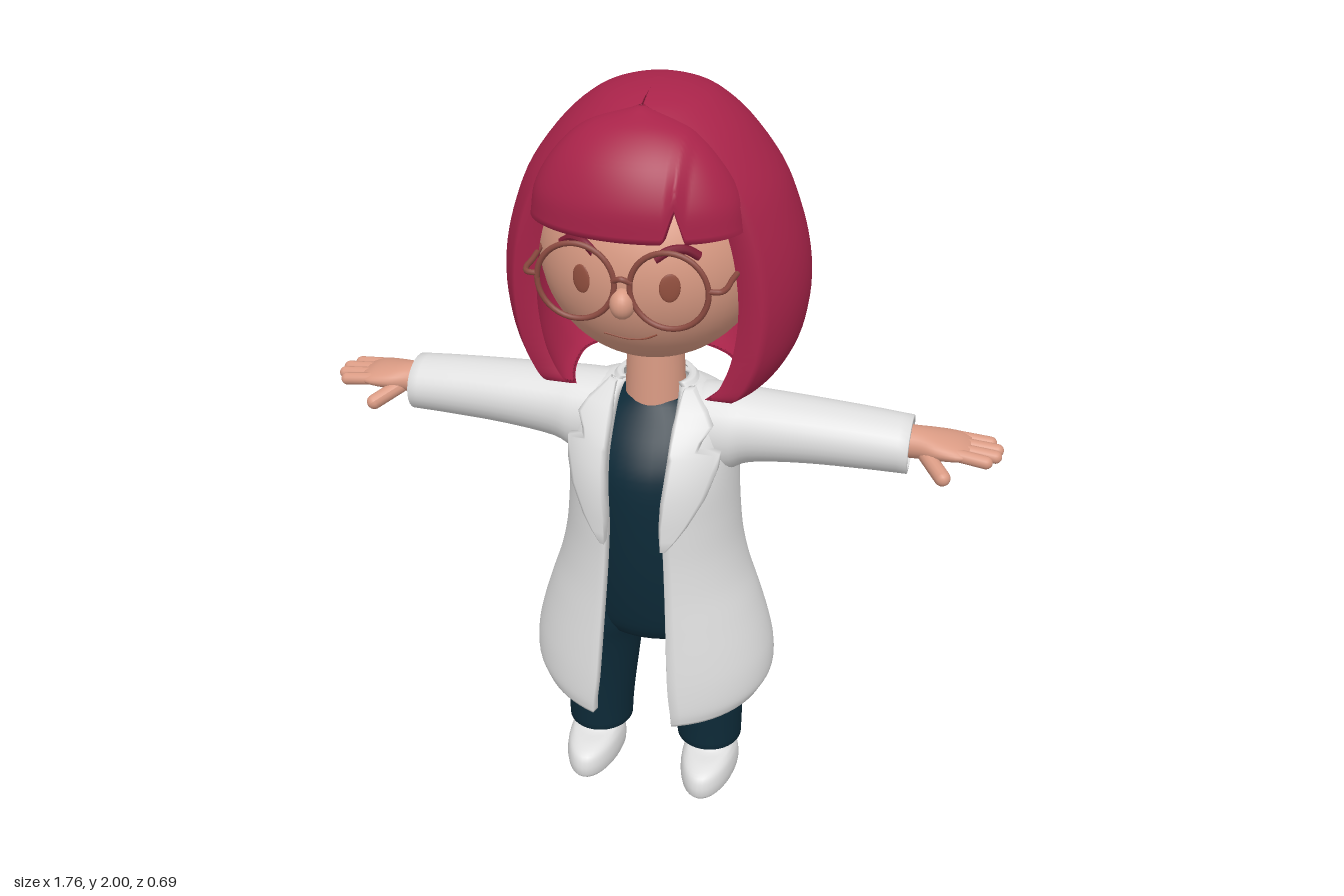
import * as THREE from 'three';

const V = (x, y, z) => new THREE.Vector3(x, y, z);
const paint = (name, color) => Object.assign(new THREE.MeshStandardMaterial({ color }), { name });

// Smoothly resamples a short table of numeric rows
function sampler(rows) {
  const times = rows.map((_, i) => i);
  const cubic = new THREE.CubicInterpolant(times, rows.flat(), rows[0].length);
  return (t) => Array.from(cubic.evaluate(t));
}
function smooth(rows, steps = 6) {
  const at = sampler(rows), out = [];
  for (let i = 0; i <= (rows.length - 1) * steps; i++) out.push(at(i / steps));
  return out;
}

// Skins a list of closed rings, with optional caps on the ends
function loft(rings, cap = true) {
  if (cap) {
    const flat = (r) => {
      const c = r.reduce((a, p) => a.add(p), V(0, 0, 0)).divideScalar(r.length);
      return [r.map((p) => p.clone().lerp(c, 0.06)), r.map(() => c)];
    };
    const [a, b] = flat(rings[0]), [c, d] = flat(rings[rings.length - 1]);
    rings = [b, a, ...rings, c, d];
  }
  const n = rings[0].length, index = [];
  for (let j = 0; j < rings.length - 1; j++) {
    for (let i = 0; i < n; i++) {
      const k = (i + 1) % n, a = j * n, b = a + n;
      index.push(a + i, a + k, b + k, a + i, b + k, b + i);
    }
  }
  const g = new THREE.BufferGeometry().setFromPoints(rings.flat());
  g.setIndex(index);
  g.computeVertexNormals();
  return g;
}

// Thick open shell: outer and inner give points for a row and s from 0 to 1
function shell(rows, n, outer, inner) {
  const s = Array.from({ length: n + 1 }, (_, i) => i / n);
  const rings = rows.map((r) => [...s.map((k) => outer(r, k)), ...s.map((k) => inner(r, 1 - k))]);
  const closed = (r) => r.map((p, i) => p.clone().lerp(r[r.length - 1 - i], 0.5));
  return loft([closed(rings[0]), ...rings, closed(rings[rings.length - 1])], false);
}

// Horizontal ring with separate front and back depth
const oval = (t, y, w, f, b, cx = 0, cz = 0) =>
  V(cx + w * Math.sin(t), y, cz + (Math.cos(t) > 0 ? f : b) * Math.cos(t));
const ovalRing = (y, w, f, b, cx, cz, n = 36) =>
  Array.from({ length: n }, (_, i) => oval((i / n) * 2 * Math.PI, y, w, f, b, cx, cz));
// Upright ring for parts that run along x
const armRing = (x, cy, ry, cz, rz, n = 28) => Array.from({ length: n }, (_, i) => {
  const t = (i / n) * 2 * Math.PI;
  return V(x, cy + ry * Math.cos(t), cz + rz * Math.sin(t));
});
const arc = (t0, s) => t0 + (2 * Math.PI - 2 * t0) * s;

function mirrored(geometry) {
  const g = geometry.clone().scale(-1, 1, 1), a = g.index.array;
  for (let i = 0; i < a.length; i += 3) [a[i], a[i + 1]] = [a[i + 1], a[i]];
  g.computeVertexNormals();
  return g;
}

export function createModel() {
  const model = new THREE.Group();
  model.name = 'figure';
  const hair = paint('hair red', 0xa82349), skin = paint('skin', 0xd99a83), white = paint('coat white', 0xdedede);
  const navy = paint('dark clothes', 0x0d2a38), frame = paint('glasses brown', 0x8a4a40);
  const iris = paint('eye brown', 0x93503f), brow = paint('brow red', 0x7c1b34);
  const add = (name, geometry, material) => {
    const m = new THREE.Mesh(geometry, material);
    m.name = name;
    model.add(m);
  };
  const pair = (name, geometry, material) => {
    add(name + 'Left', geometry, material);
    add(name + 'Right', mirrored(geometry), material);
  };
  const tube = (points, r, n = 24) => new THREE.TubeGeometry(new THREE.CatmullRomCurve3(points), n, r, 8);

  // Head, nose and neck
  add('head', new THREE.SphereGeometry(1, 48, 32).scale(0.28, 0.28, 0.28).translate(0, 1.605, 0.03), skin);
  const faceZ = (x, y) => 0.03 + Math.sqrt(Math.max(0, 0.0784 - x * x - (y - 1.605) ** 2));
  add('nose', new THREE.SphereGeometry(1, 20, 14).scale(0.03, 0.037, 0.035).translate(0, 1.565, 0.313), skin);
  add('neck', new THREE.CylinderGeometry(0.07, 0.08, 0.24, 28).translate(0, 1.26, 0.025), skin);

  // Eyes, brows, mouth
  const eye = new THREE.SphereGeometry(1, 20, 14).scale(0.025, 0.035, 0.005).rotateY(0.38);
  pair('eye', eye.translate(0.105, 1.605, faceZ(0.105, 1.605)), iris);
  const browPoints = [[0.07, 1.672], [0.1, 1.69], [0.135, 1.69], [0.163, 1.672]];
  pair('brow', tube(browPoints.map(([x, y]) => V(x, y, faceZ(x, y))), 0.011), brow);
  const lips = [[-0.06, 1.462], [0, 1.455], [0.04, 1.46], [0.07, 1.475]];
  add('mouth', tube(lips.map(([x, y]) => V(x, y, faceZ(x, y))), 0.0025), iris);

  // Glasses
  pair('lensRim', new THREE.TorusGeometry(0.092, 0.007, 8, 40).translate(0.11, 1.61, 0.318), frame);
  add('bridge', tube([V(-0.022, 1.62, 0.318), V(0, 1.63, 0.326), V(0.022, 1.62, 0.318)], 0.007), frame);
  pair('temple', tube([V(0.2, 1.62, 0.318), V(0.226, 1.62, 0.315), V(0.236, 1.62, 0.295),
    V(0.238, 1.62, 0.24), V(0.245, 1.62, 0.16)], 0.007), frame);

  // Bob: y, half width, front, back, half angle of the face opening
  const bob = [[1.268, 0.27, 0.3, 0.205, 0.95], [1.285, 0.3, 0.335, 0.235, 0.93], [1.33, 0.333, 0.34, 0.27, 0.93],
    [1.4, 0.362, 0.34, 0.312, 0.93], [1.5, 0.377, 0.34, 0.343, 0.93], [1.6, 0.37, 0.34, 0.342, 0.93],
    [1.7, 0.343, 0.34, 0.318, 0.93], [1.8, 0.3, 0.32, 0.282, 0.88], [1.9, 0.225, 0.255, 0.22, 0.7],
    [1.96, 0.155, 0.17, 0.16, 0.1], [1.985, 0.1, 0.11, 0.105, 0.02], [1.996, 0.05, 0.055, 0.055, 0], [2, 0, 0, 0, 0]];
  add('hairBob', shell(smooth(bob, 4), 64,
    ([y, w, f, b, o], s) => oval(arc(Math.max(0, o), s), y, Math.max(0, w), f, b),
    ([y, w, f, b, o], s) => oval(arc(Math.max(0, o), s), y, Math.max(0, w - 0.07), f, Math.max(0, b - 0.07))), hair);

  // Fringe with a small parting: y, half width, side z, front z
  const fringe = [[1.722, 0.255, 0.18, 0.338], [1.8, 0.24, 0.18, 0.334], [1.88, 0.19, 0.18, 0.3],
    [1.94, 0.12, 0.17, 0.24], [1.975, 0.01, 0.15, 0.165]];
  const fringePoint = ([y, w, z0, z1], s, inset) => {
    const a = (s - 0.5) * Math.PI, x = w * Math.sin(a);
    const notch = 0.08 * Math.max(0, 1 - Math.abs(x - 0.12) / 0.024) * Math.max(0, (1.975 - y) / 0.255) ** 2;
    return V(x, y + notch, z0 + (z1 - z0 - inset) * Math.cos(a));
  };
  add('fringe', shell(smooth(fringe, 6), 120, (r, s) => fringePoint(r, s, 0), (r, s) => fringePoint(r, s, 0.03)), hair);

  // Coat: y, half width, front, back, half width of the opening
  const coat = [[0.31, 0.318, 0.262, 0.238, 0.11], [0.35, 0.334, 0.264, 0.238, 0.108], [0.42, 0.332, 0.26, 0.233, 0.1],
    [0.5, 0.316, 0.253, 0.224, 0.095], [0.6, 0.288, 0.243, 0.21, 0.09], [0.7, 0.258, 0.234, 0.195, 0.085],
    [0.8, 0.238, 0.228, 0.18, 0.08], [0.9, 0.228, 0.226, 0.17, 0.076], [1.0, 0.223, 0.222, 0.16, 0.08],
    [1.08, 0.22, 0.195, 0.155, 0.085], [1.15, 0.215, 0.15, 0.142, 0.085], [1.205, 0.195, 0.1, 0.127, 0.085],
    [1.237, 0.12, 0.06, 0.09, 0.085]];
  const coatPoint = ([y, w, f, b, o], s, inset) => {
    const p = oval(arc(Math.asin(o / w), s), y, w - inset, f - inset, b - inset, 0, 0.03);
    p.y += Math.max(0, (0.8 - y) / 0.49) * (0.28 - p.z) * 0.16;
    return p;
  };
  add('coatBody', shell(smooth(coat, 5), 72, (r, s) => coatPoint(r, s, 0), (r, s) => coatPoint(r, s, 0.022)), white);

  // Notched lapels that follow the chest: y, inner x, outer x
  const coatAt = sampler(coat);
  const chestZ = (x, y) => {
    let i = coat.findIndex((r) => r[0] >= y);
    if (i < 1) i = coat.length - 1;
    const [, w, f] = coatAt(i - 1 + (y - coat[i - 1][0]) / (coat[i][0] - coat[i - 1][0]));
    return 0.03 + f * Math.sqrt(Math.max(0.05, 1 - (x / (w * 1.12)) ** 2));
  };
  const lapel = [[0.86, 0.074, 0.086], [0.89, 0.072, 0.11], [0.93, 0.07, 0.137], [1.0, 0.073, 0.175], [1.06, 0.078, 0.194],
    [1.105, 0.08, 0.198], [1.118, 0.08, 0.148], [1.14, 0.08, 0.155], [1.17, 0.08, 0.175], [1.2, 0.083, 0.155], [1.237, 0.088, 0.112]];
  const lapelPoint = ([y, a, b], s, lift) => {
    const x = a + (b - a) * s;
    return V(x, y, chestZ(x, y) + lift);
  };
  pair('lapel', shell(lapel, 10, (r, s) => lapelPoint(r, s, 0.014), (r, s) => lapelPoint(r, s, -0.02)), white);

  // Collar around the neck
  const collar = [[1.195, 0.145, 0.1, 0.125], [1.225, 0.12, 0.085, 0.112], [1.248, 0.1, 0.075, 0.1]];
  add('collar', shell(smooth(collar), 40, ([y, w, f, b], s) => oval(arc(0.95, s), y, w, f, b, 0, 0.02),
    ([y, w, f, b], s) => oval(arc(0.95, s), y, w - 0.016, f, b - 0.016, 0, 0.02)), white);

  // Sleeves with open cuffs: x, centre y, height, depth
  const sleeve = smooth([[0.12, 1.12, 0.115, 0.105], [0.2, 1.121, 0.113, 0.105], [0.26, 1.134, 0.096, 0.098],
    [0.4, 1.14, 0.084, 0.092], [0.55, 1.139, 0.077, 0.086], [0.655, 1.136, 0.072, 0.083]], 4)
    .map(([x, cy, ry, rz]) => armRing(x, cy, ry, 0.027, rz));
  sleeve.push(armRing(0.656, 1.136, 0.058, 0.027, 0.069), armRing(0.62, 1.136, 0.056, 0.027, 0.067));
  pair('sleeve', loft(sleeve), white);

  // Hands: palm, four fingers and a thumb
  const palm = smooth([[0.61, 1.145, 0.042, 0.03, 0.045], [0.67, 1.147, 0.04, 0.03, 0.047], [0.72, 1.147, 0.033, 0.028, 0.062],
    [0.77, 1.146, 0.025, 0.026, 0.067], [0.8, 1.145, 0.014, 0.026, 0.058]], 4);
  pair('palm', loft(palm.map(([x, cy, ry, cz, rz]) => armRing(x, cy, ry, cz, rz))), skin);
  const finger = (a, b, r) => {
    const d = b.clone().sub(a), m = a.clone().add(b).multiplyScalar(0.5);
    const turn = new THREE.Quaternion().setFromUnitVectors(V(0, 1, 0), d.clone().normalize());
    return new THREE.CapsuleGeometry(r, d.length(), 6, 14).applyQuaternion(turn).translate(m.x, m.y, m.z);
  };
  [[-0.024, 0.845], [0.009, 0.864], [0.042, 0.862], [0.075, 0.842]].forEach(([z, tip], i) =>
    pair('finger' + (i + 1), finger(V(0.76, 1.148, z * 0.9 + 0.003), V(tip, 1.139, z), 0.0165), skin));
  pair('thumb', finger(V(0.695, 1.132, 0.06), V(0.745, 1.108, 0.124), 0.02), skin);

  // Shirt: y, half width, front, back
  const shirt = [[0.505, 0.17, 0.13, 0.13], [0.56, 0.2, 0.155, 0.15], [0.7, 0.2, 0.18, 0.15], [0.85, 0.192, 0.19, 0.14],
    [1.0, 0.188, 0.185, 0.13], [1.08, 0.18, 0.155, 0.12], [1.15, 0.15, 0.105, 0.1], [1.2, 0.09, 0.066, 0.08]];
  add('shirt', loft(smooth(shirt, 4).map(([y, w, f, b]) => ovalRing(y, w, f, b, 0, 0.03))), navy);

  // Trouser legs: y, centre x, half width, half depth
  const leg = [[0.12, 0.162, 0.091, 0.094], [0.2, 0.16, 0.094, 0.097], [0.32, 0.154, 0.101, 0.105],
    [0.45, 0.142, 0.106, 0.12], [0.52, 0.125, 0.11, 0.13], [0.6, 0.1, 0.1, 0.13]];
  pair('trouserLeg', loft(smooth(leg, 4).map(([y, cx, rx, rz]) => ovalRing(y, rx, rz, rz, cx, 0.037))), navy);

  // Shoes: y, half width, toe, heel
  const shoe = [[0, 0.07, 0.158, 0.084], [0.012, 0.077, 0.166, 0.09], [0.04, 0.08, 0.168, 0.09], [0.07, 0.076, 0.155, 0.09],
    [0.088, 0.068, 0.115, 0.088], [0.1, 0.062, 0.06, 0.084], [0.14, 0.056, 0.045, 0.076]];
  pair('shoe', loft(smooth(shoe, 4).map(([y, w, f, b]) => ovalRing(y, w, f, b, 0.17, 0.045))), white);

  return model;
}
